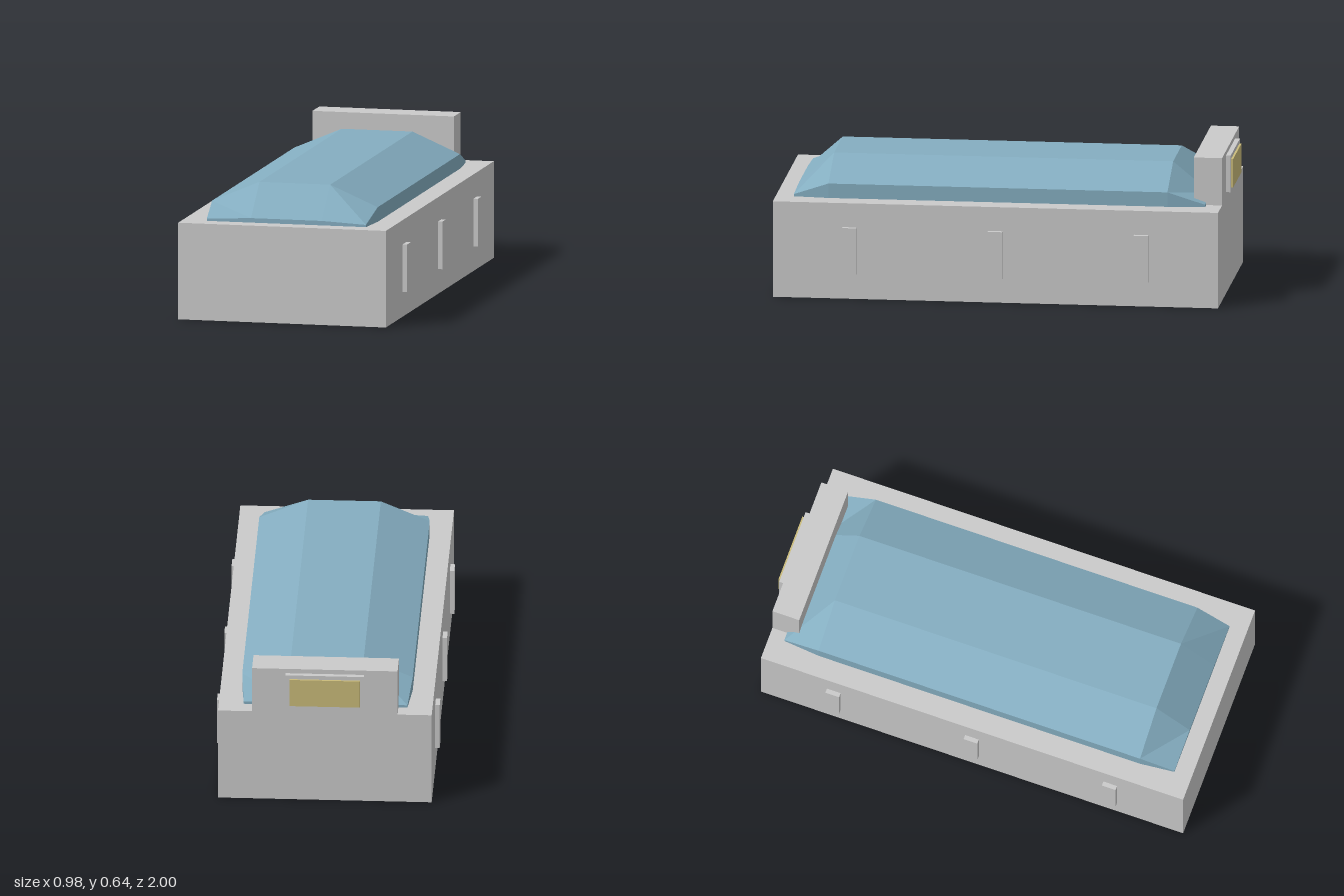
import * as THREE from 'three';

const grey = new THREE.MeshStandardMaterial({ name: 'frameGrey', color: 0xcacaca, side: THREE.DoubleSide });
const blue = new THREE.MeshStandardMaterial({ name: 'beddingBlue', color: 0x84adc0, flatShading: true });
const gold = new THREE.MeshStandardMaterial({ name: 'plateGold', color: 0xcabb7a });

// Box given by its limits; openBottom leaves out the underside
function box(name, material, [x0, x1], [y0, y1], [z0, z1], openBottom = true) {
  const geo = new THREE.BoxGeometry(x1 - x0, y1 - y0, z1 - z0);
  if (openBottom) {
    const idx = Array.from(geo.index.array);
    idx.splice(18, 6); // the -y side
    geo.setIndex(idx);
    geo.clearGroups();
  }
  const mesh = new THREE.Mesh(geo, material);
  mesh.name = name;
  mesh.position.set((x0 + x1) / 2, (y0 + y1) / 2, (z0 + z1) / 2);
  return mesh;
}

// Puffed mattress: eight-sided sections, tapering to thin ends
function mattressGeometry() {
  const midY = 0.43;
  const sections = [
    { z: -0.90, w: 0.36, side: 0.01, crown: 0.02 },
    { z: -0.735, w: 0.375, side: 0.065, crown: 0.157 },
    { z: 0.765, w: 0.375, side: 0.065, crown: 0.157 },
    { z: 0.92, w: 0.36, side: 0.01, crown: 0.02 },
  ];
  const pos = [];
  const idx = [];
  const n = 8;
  for (const { z, w, side, crown } of sections) {
    const ring = [[w, -side], [w, side], [0.16, crown], [-0.16, crown],
      [-w, side], [-w, -side], [-0.16, -crown], [0.16, -crown]];
    for (const [x, y] of ring) pos.push(x, midY + y, z);
  }
  for (let i = 0; i < sections.length - 1; i++) {
    for (let j = 0; j < n; j++) {
      const k = (j + 1) % n;
      const a = i * n + j, b = i * n + k, c = b + n, d = a + n;
      idx.push(a, b, d, b, c, d);
    }
  }
  // End caps
  const last = (sections.length - 1) * n;
  for (let j = 1; j < n - 1; j++) {
    idx.push(0, j + 1, j);
    idx.push(last, last + j, last + j + 1);
  }
  const geo = new THREE.BufferGeometry();
  geo.setAttribute('position', new THREE.Float32BufferAttribute(pos, 3));
  geo.setIndex(idx);
  const flat = geo.toNonIndexed();
  flat.computeVertexNormals();
  return flat;
}

export function createModel() {
  const bed = new THREE.Group();
  bed.name = 'bed';

  // Hollow base, open underneath, and headboard
  bed.add(box('base', grey, [-0.47, 0.47], [0, 0.43], [-0.97, 1]));
  bed.add(box('headboard', grey, [-0.32, 0.32], [0.43, 0.643], [-0.97, -0.845]));

  // Cross beams whose ends poke through the side walls
  for (const z of [0.66, 0.015, -0.63]) {
    bed.add(box('crossBeam', grey, [-0.49, 0.49], [0.11, 0.322], [z - 0.032, z + 0.032]));
  }

  // Plate on the back of the headboard
  bed.add(box('plateHolder', grey, [-0.173, 0.173], [0.457, 0.622], [-0.991, -0.97]));
  bed.add(box('backPlate', gold, [-0.155, 0.155], [0.475, 0.604], [-1, -0.991], false));

  const mattress = new THREE.Mesh(mattressGeometry(), blue);
  mattress.name = 'mattress';
  bed.add(mattress);

  return bed;
}
